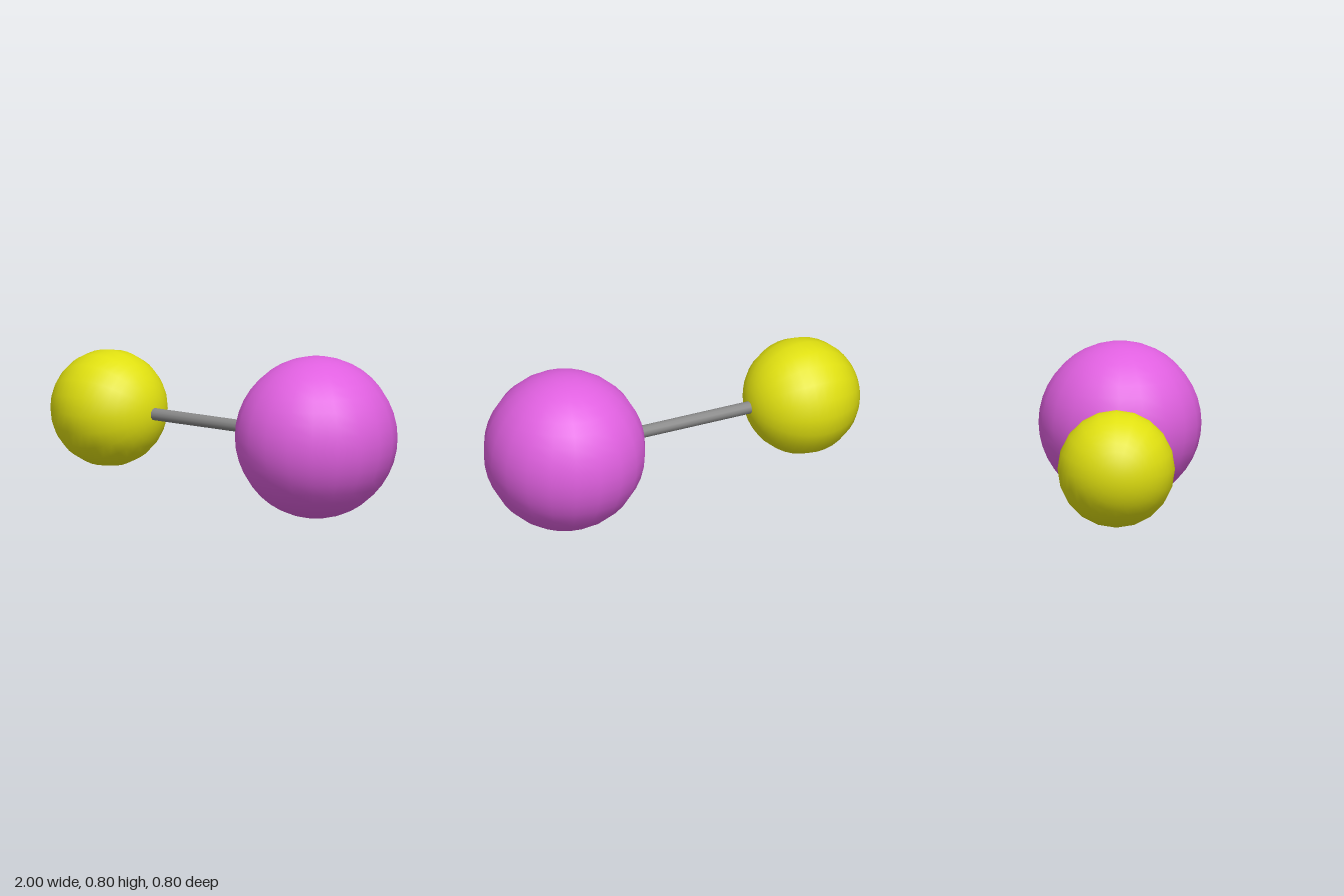
import * as THREE from 'three';

const CENTER_Y = 0.403;

function ball(name, radius, x, color) {
  const mesh = new THREE.Mesh(
    new THREE.SphereGeometry(radius, 20, 20),
    new THREE.MeshStandardMaterial({ color })
  );
  mesh.name = name;
  mesh.position.set(x, CENTER_Y, 0);
  return mesh;
}

export function createModel() {
  const model = new THREE.Group();
  model.name = 'ballAndStick';

  // Two balls; the small one has its poles along the rod
  const largeBall = ball('largeBall', 0.402, 0.597, 0xe060e0);
  const smallBall = ball('smallBall', 0.29, -0.71, 0xe0e010);
  smallBall.position.y = 0.406;
  smallBall.rotation.z = Math.PI / 2;

  // Rod running between the ball surfaces, slightly sunk into each
  const start = -0.44, end = 0.22;
  const rod = new THREE.Mesh(
    new THREE.CylinderGeometry(0.031, 0.031, end - start, 12),
    new THREE.MeshStandardMaterial({ color: 0x888888 })
  );
  rod.name = 'connectingRod';
  rod.rotation.z = Math.PI / 2;
  rod.position.set((start + end) / 2, 0.405, 0);

  model.add(largeBall, smallBall, rod);
  return model;
}
